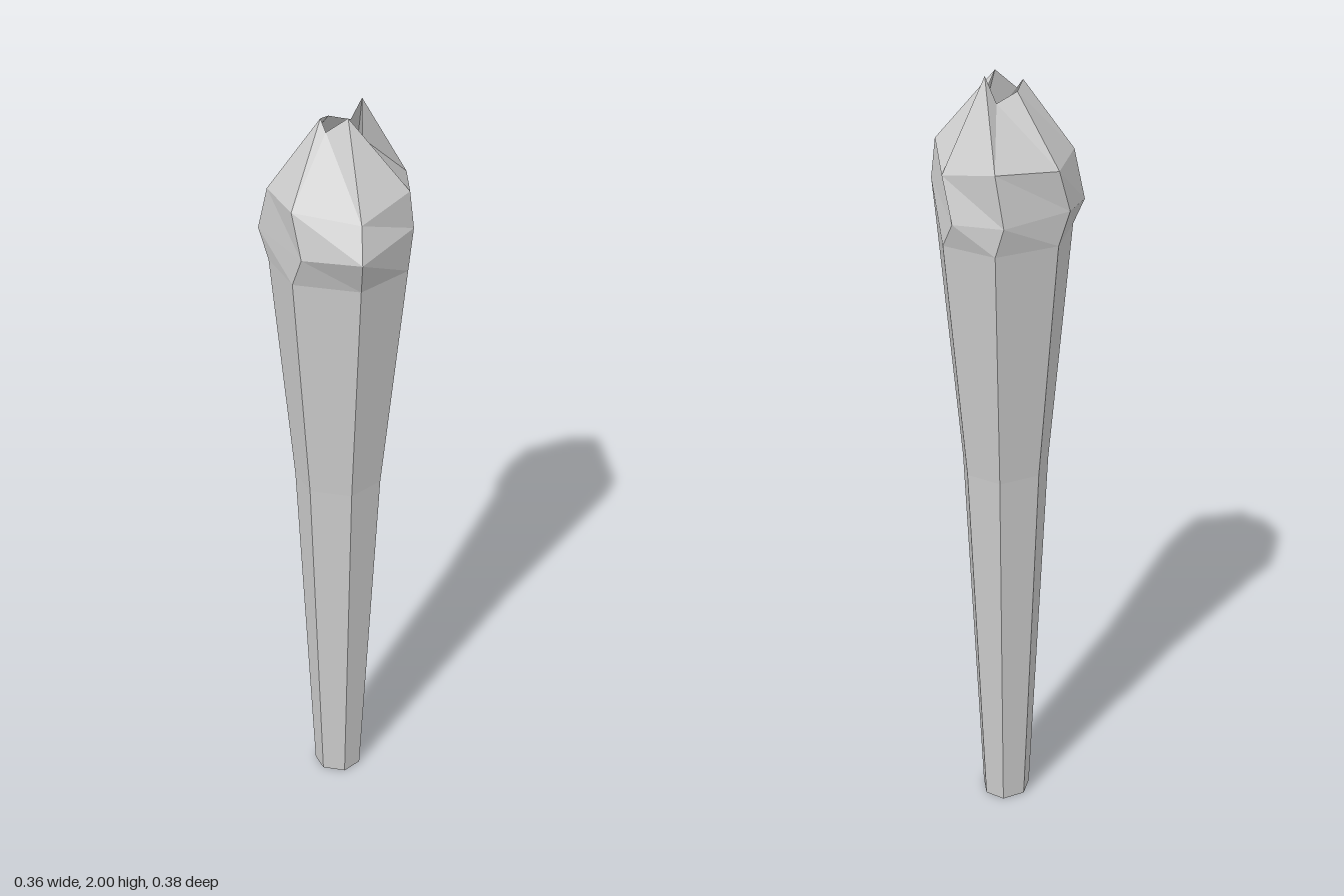
import * as THREE from 'three';

// Plan of the seven ribs [x, z], clockwise seen from above
const plan = [
  [-0.125, -0.105], [0.015, -0.185], [0.14, -0.12], [0.17, 0.035],
  [0.08, 0.145], [-0.078, 0.14], [-0.153, 0.04],
];

// A level ring of the handle: the plan scaled down
const ring = (y, scale) => plan.map(([x, z]) => [x * scale, y, z * scale]);

// Uneven rings of the head [x, y, z]
const bulge = [
  [-0.15, 1.7, -0.09], [-0.005, 1.69, -0.19], [0.115, 1.685, -0.155], [0.18, 1.73, 0.03],
  [0.09, 1.715, 0.19], [-0.052, 1.7, 0.165], [-0.18, 1.69, 0.02],
];
const shoulderY = [1.8, 1.815, 1.79, 1.825, 1.79, 1.805, 1.805];
const shoulder = plan.map(([x, z], i) => [x, shoulderY[i], z]);
const rim = [
  [-0.025, 1.96, -0.03], [0.02, 1.94, -0.06], [0.047, 2.0, -0.05], [0.057, 1.93, 0.005],
  [0.03, 1.99, 0.033], [-0.02, 1.95, 0.03], [-0.035, 1.975, 0.015],
];

// Faceted skin through a stack of rings, optionally closed at the bottom
function loft(name, rings, closeBottom) {
  const n = plan.length;
  const index = [];
  for (let r = 0; r < rings.length - 1; r++) {
    for (let i = 0; i < n; i++) {
      const a = r * n + i, b = r * n + (i + 1) % n;
      index.push(a, a + n, b + n, a, b + n, b);
    }
  }
  if (closeBottom) for (let i = 1; i < n - 1; i++) index.push(0, i, i + 1);
  const indexed = new THREE.BufferGeometry();
  indexed.setAttribute('position', new THREE.Float32BufferAttribute(rings.flat(2), 3));
  indexed.setIndex(index);
  const geometry = indexed.toNonIndexed();
  geometry.computeVertexNormals();
  const material = new THREE.MeshStandardMaterial({
    color: 0xcccccc, flatShading: true, side: THREE.DoubleSide,
  });
  const mesh = new THREE.Mesh(geometry, material);
  mesh.name = name;
  return mesh;
}

export function createModel() {
  const group = new THREE.Group();
  group.name = 'club';
  const neck = ring(1.62, 1);
  // Tapering handle with a closed foot
  group.add(loft('handle', [ring(0, 0.38), ring(1, 0.66), neck], true));
  // Swollen head ending in a jagged open rim
  group.add(loft('head', [neck, bulge, shoulder, rim], false));
  return group;
}
